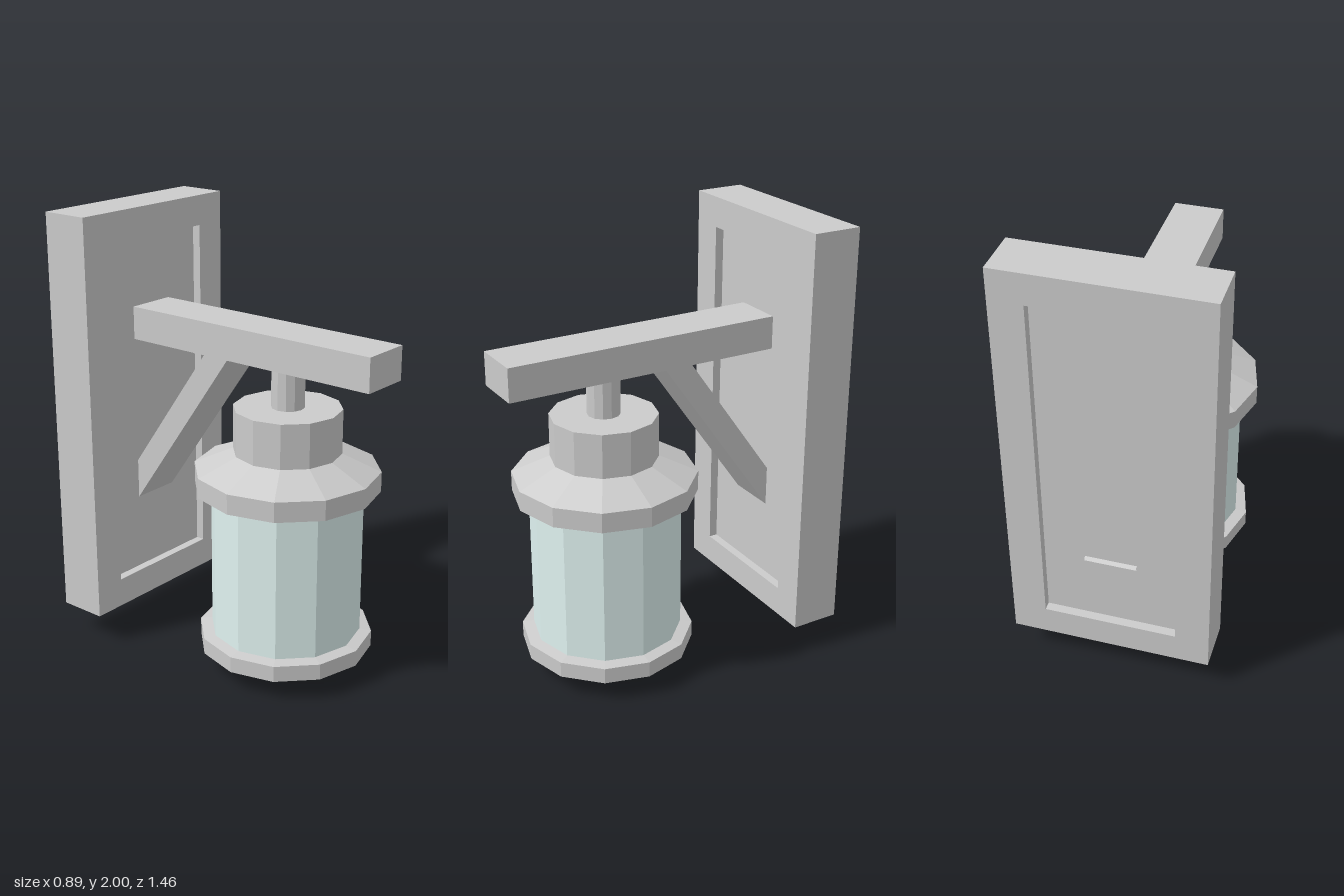
import * as THREE from 'three';

const grey = new THREE.MeshStandardMaterial({ color: 0xcccccc, flatShading: true });
const glass = new THREE.MeshStandardMaterial({ color: 0xdff2f0, flatShading: true });

export function createModel() {
  const group = new THREE.Group();

  const add = (name, geometry, material = grey) => {
    const mesh = new THREE.Mesh(geometry, material);
    mesh.name = name;
    group.add(mesh);
    return mesh;
  };
  // Box given by its minimum and maximum corners
  const box = (name, [x0, y0, z0], [x1, y1, z1]) =>
    add(name, new THREE.BoxGeometry(x1 - x0, y1 - y0, z1 - z0))
      .position.set((x0 + x1) / 2, (y0 + y1) / 2, (z0 + z1) / 2);
  // Twelve-sided turned part on the lantern axis, profile from bottom to top
  const turned = (name, profile, material) =>
    add(name, new THREE.LatheGeometry(profile.map(p => new THREE.Vector2(...p)), 12), material)
      .position.z = 0.243;
  const rect = (C, w, y0, y1) => new C([[-w, y0], [w, y0], [w, y1], [-w, y1]]
    .map(p => new THREE.Vector2(...p)));

  // Wall plate: raised frame around a panel recessed on both faces
  const frame = rect(THREE.Shape, 0.443, 0.14, 2);
  frame.holes.push(rect(THREE.Path, 0.295, 0.275, 1.862));
  add('wallFrame', new THREE.ExtrudeGeometry(frame, { depth: 0.225, bevelEnabled: false }))
    .position.z = -0.73;
  box('wallPanel', [-0.295, 0.275, -0.69], [0.295, 1.862, -0.545]);

  // Horizontal arm
  box('arm', [-0.115, 1.4, -0.56], [0.115, 1.55, 0.73]);

  // Diagonal brace; its square lower end just breaks through the panel's back
  const brace = new THREE.Shape([[0.035, 1.45], [-0.095, 1.45], [-0.701, 0.593], [-0.614, 0.531]]
    .map(([z, y]) => new THREE.Vector2(-z, y)));
  const braceGeometry = new THREE.ExtrudeGeometry(brace, { depth: 0.23, bevelEnabled: false });
  braceGeometry.translate(0, 0, -0.115).rotateY(Math.PI / 2);
  add('brace', braceGeometry);

  // Hanging lantern
  turned('stem', [[0.073, 1.2], [0.073, 1.42]]);
  turned('cap', [[0, 0.85], [0.41, 0.85], [0.41, 0.94], [0.238, 1.015], [0.238, 1.215], [0, 1.215]]);
  turned('glassShade', [[0.337, 0.16], [0.337, 0.86]], glass);
  turned('base', [[0, 0], [0.207, 0], [0.207, 0.028], [0.39, 0.097], [0.39, 0.17], [0.337, 0.178], [0, 0.178]]);

  return group;
}
